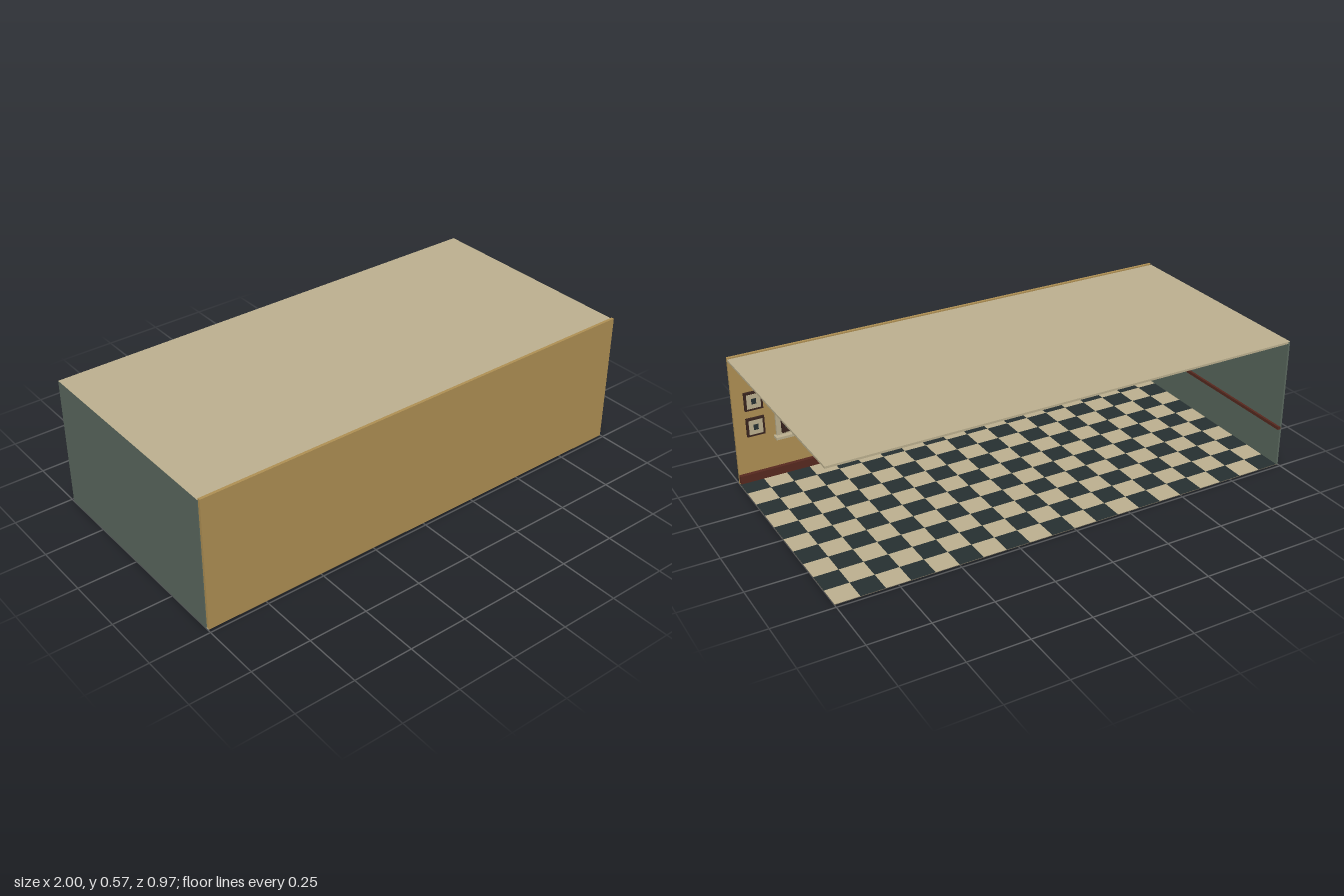
import * as THREE from 'three';
import { mergeGeometries } from 'three/addons/utils/BufferGeometryUtils.js';

const mat = (name, color) => {
  const m = new THREE.MeshStandardMaterial({ color });
  m.name = name;
  return m;
};

export function createModel() {
  const ochre = mat('ochre wall', 0xae8f53);
  const green = mat('green wall', 0x5a685e);
  const cream = mat('cream', 0xbcb08f);
  const darkTile = mat('dark tile', 0x263031);
  const brown = mat('red brown wood', 0x57291f);
  const darkWood = mat('dark wood', 0x38241d);
  const glass = mat('window glass', 0x4f6059);
  const under = mat('floor base', 0x6b6455);

  const room = new THREE.Group();
  room.name = 'room';

  // Box given by its min and max corners
  const box = (parent, name, m, x0, x1, y0, y1, z0, z1) => {
    const mesh = new THREE.Mesh(new THREE.BoxGeometry(x1 - x0, y1 - y0, z1 - z0), m);
    mesh.position.set((x0 + x1) / 2, (y0 + y1) / 2, (z0 + z1) / 2);
    mesh.name = name;
    parent.add(mesh);
    return mesh;
  };

  // Shell: two walls, ceiling and floor base; the back and the left side stay open
  const D = 0.485, W = 0.473;
  box(room, 'frontWall', ochre, -0.997, 1, 0, 0.568, W, D);
  box(room, 'sideWall', green, -1, -0.992, 0, 0.562, -D, W);
  box(room, 'ceiling', cream, -1, 1, 0.554, 0.5625, -D, W);
  box(room, 'floorBase', under, -1, 1, 0, 0.002, -D, W);

  // Checkered floor tiles
  const NX = 20, NZ = 10, sx = 2 / NX, sz = (2 * D) / NZ;
  const tiles = [[], []];
  for (let i = 0; i < NX; i++) {
    for (let j = 0; j < NZ; j++) {
      const g = new THREE.PlaneGeometry(sx, sz).rotateX(-Math.PI / 2);
      g.translate(-1 + (i + 0.5) * sx, 0.003, -D + (j + 0.5) * sz);
      tiles[(i + j) % 2].push(g);
    }
  }
  [darkTile, cream].forEach((m, k) => {
    const mesh = new THREE.Mesh(mergeGeometries(tiles[k]), m);
    mesh.name = k ? 'lightTiles' : 'darkTiles';
    room.add(mesh);
  });

  // Wooden trim
  box(room, 'wallRail', brown, -0.995, -0.982, 0.167, 0.18, -D, W);
  box(room, 'baseboard', brown, -0.99, 1, 0.01, 0.045, 0.456, W);

  // Windows: cream surround and sill, glass, dark bars
  const window_ = (cx) => {
    const g = new THREE.Group();
    g.name = 'window';
    const o = 0.26, h = 0.24;
    box(g, 'windowHead', cream, -o, o, 0.43, 0.47, 0.461, W);
    box(g, 'windowFoot', cream, -o, o, 0.187, 0.2, 0.461, W);
    box(g, 'windowSill', cream, -o - 0.01, o + 0.01, 0.177, 0.188, 0.44, W);
    for (const s of [-1, 1]) {
      const c = s * (o + h) / 2;
      box(g, 'windowJamb', cream, c - 0.01, c + 0.01, 0.2, 0.43, 0.461, W);
    }
    box(g, 'glass', glass, -h, h, 0.2, 0.43, 0.464, 0.472);
    for (let i = 0; i <= 4; i++) {
      const c = -h + 0.007 + i * (2 * h - 0.014) / 4;
      box(g, 'windowBar', darkWood, c - 0.007, c + 0.007, 0.2, 0.43, 0.447, 0.464);
    }
    for (const y of [0.207, 0.372, 0.423]) {
      box(g, 'windowRail', darkWood, -h, h, y - 0.006, y + 0.006, 0.448, 0.464);
    }
    g.position.x = cx;
    room.add(g);
  };
  [-0.57, 0.57].forEach(window_);

  // Framed pictures, two above each other at each end of the wall
  for (const cx of [-0.914, 0.914]) {
    for (const cy of [0.25, 0.365]) {
      const g = new THREE.Group();
      g.name = 'picture';
      box(g, 'pictureFrame', darkWood, -0.038, 0.038, -0.04, 0.04, 0.463, W);
      box(g, 'pictureMat', cream, -0.029, 0.029, -0.031, 0.031, 0.461, 0.465);
      box(g, 'pictureMotif', darkTile, -0.01, 0.01, -0.012, 0.012, 0.46, 0.463);
      g.position.set(cx, cy, 0);
      room.add(g);
    }
  }

  // Flat ceiling lamps in two rows
  for (const z of [-0.297, 0.32]) {
    for (let i = -2; i <= 2; i++) {
      const lamp = new THREE.Mesh(new THREE.CylinderGeometry(0.0125, 0.0125, 0.004, 16), brown);
      lamp.position.set(i * 0.4, 0.553, z);
      lamp.name = 'ceilingLamp';
      room.add(lamp);
    }
  }
  return room;
}
